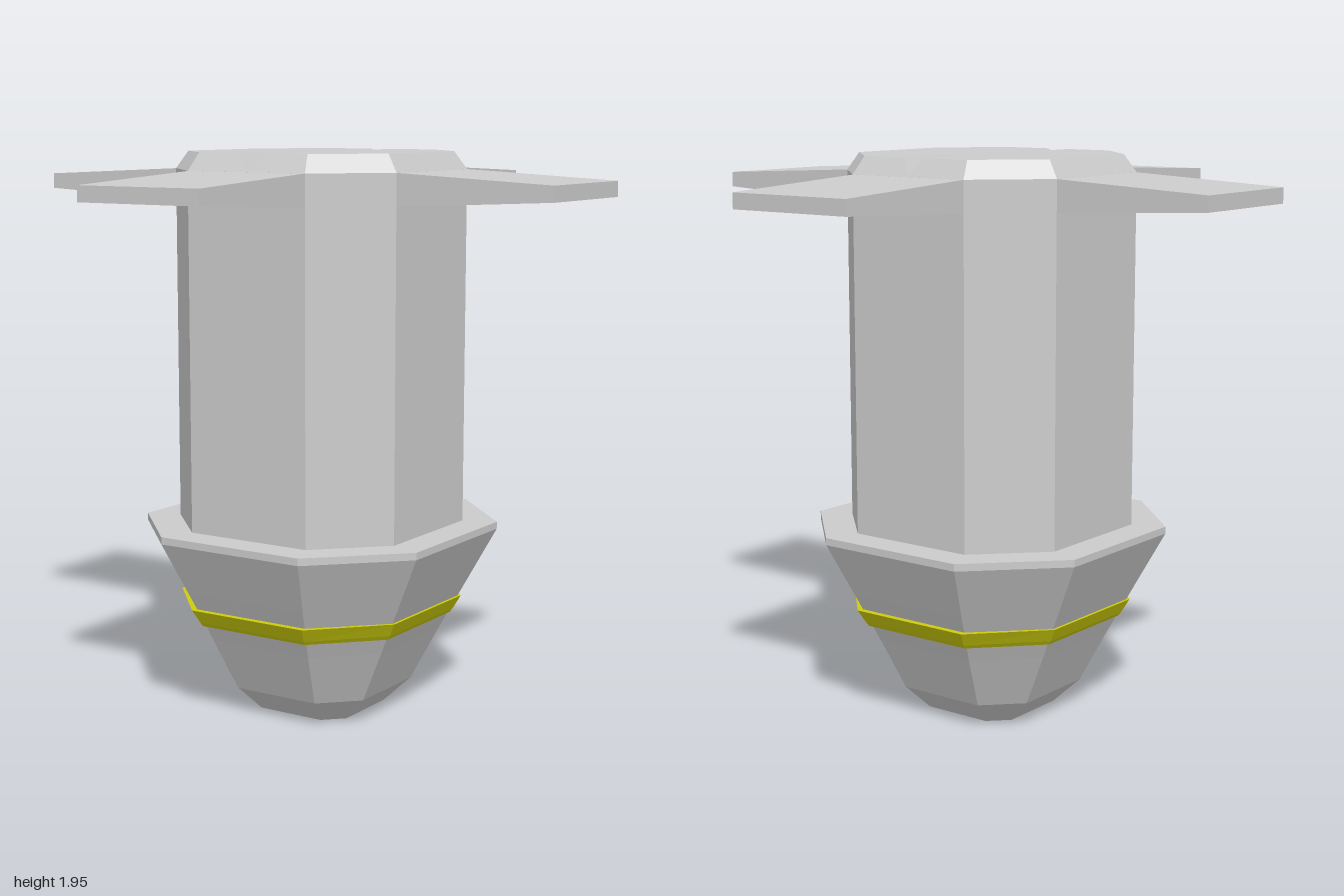
import * as THREE from 'three';

const grey = new THREE.MeshStandardMaterial({ color: 0xcccccc, flatShading: true });
const yellow = new THREE.MeshStandardMaterial({ color: 0xcccc0c, flatShading: true });

// Solid skinned through equal-length rings, each counterclockwise seen from the end of the stack
function loft(rings) {
  const pos = [];
  const tri = (a, b, c) => pos.push(...a, ...b, ...c);
  const n = rings[0].length;
  for (let r = 0; r < rings.length - 1; r++) {
    const lo = rings[r], hi = rings[r + 1];
    for (let i = 0; i < n; i++) {
      const j = (i + 1) % n;
      tri(lo[i], lo[j], hi[j]);
      tri(lo[i], hi[j], hi[i]);
    }
  }
  const first = rings[0], last = rings[rings.length - 1];
  for (let i = 1; i < n - 1; i++) {
    tri(first[0], first[i + 1], first[i]);
    tri(last[0], last[i], last[i + 1]);
  }
  const geo = new THREE.BufferGeometry();
  geo.setAttribute('position', new THREE.Float32BufferAttribute(pos, 3));
  geo.computeVertexNormals();
  return geo;
}

// Octagon at height y: a = half width, b = half length of the sides facing the axes
function octagon(y, a, b, az = a) {
  return [
    [-b, y, az], [b, y, az], [a, y, b], [a, y, -b],
    [b, y, -az], [-b, y, -az], [-a, y, -b], [-a, y, b],
  ];
}

// Half octagon on +x, cut off at x = inner
function halfOctagon(y, a, b, inner) {
  return [[inner, y, a], [b, y, a], [a, y, b], [a, y, -b], [b, y, -a], [inner, y, -a]];
}

// Upright rectangle at distance x from the axis
function finSection(x, y0, y1, w) {
  return [[x, y0, -w], [x, y1, -w], [x, y1, w], [x, y0, w]];
}

export function createModel() {
  const model = new THREE.Group();
  model.name = 'model';
  const add = (name, geometry, material = grey, turn = 0) => {
    const mesh = new THREE.Mesh(geometry, material);
    mesh.name = name;
    mesh.rotation.y = turn;
    model.add(mesh);
  };

  // Tapered nose with a narrow vertical rim
  add('nose', loft([
    octagon(0, 0.19, 0.125),
    octagon(0.09, 0.28, 0.16),
    octagon(0.28, 0.373, 0.195),
    octagon(0.46, 0.463, 0.235),
    octagon(0.645, 0.555, 0.277),
    octagon(0.67, 0.555, 0.277),
  ]));

  // Coloured band around the nose
  add('band', loft([
    octagon(0.338, 0.407, 0.21, 0.415),
    octagon(0.352, 0.418, 0.213, 0.427),
    octagon(0.4, 0.443, 0.227, 0.455),
  ]), yellow);

  // Straight column
  add('body', loft([octagon(0.66, 0.443, 0.232), octagon(1.89, 0.443, 0.232)]));

  // Bevelled cap in two halves, leaving a V groove between them
  const half = loft([halfOctagon(1.89, 0.443, 0.232, 0), halfOctagon(1.95, 0.402, 0.215, 0.042)]);
  add('capLeft', half);
  add('capRight', half, grey, Math.PI);

  // Four tapering fins
  const fin = loft([finSection(0.44, 1.782, 1.89, 0.232), finSection(1, 1.81, 1.862, 0.232)]);
  ['finLeft', 'finBack', 'finRight', 'finFront'].forEach((name, i) => add(name, fin, grey, i * Math.PI / 2));

  return model;
}
